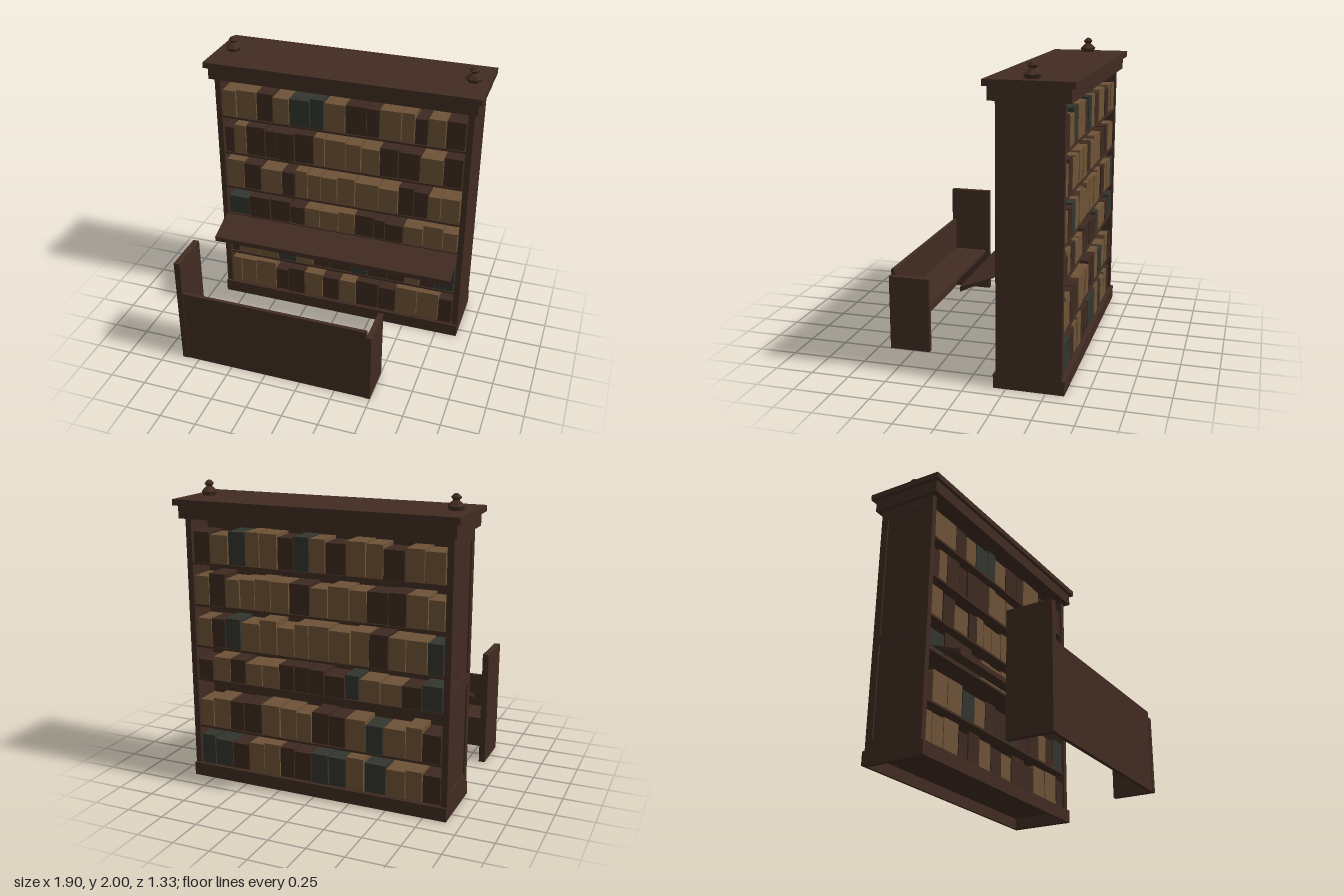
import * as THREE from 'three';

const mat = (name, color) => Object.assign(new THREE.MeshStandardMaterial({ color }), { name });
const wood = mat('walnut wood', 0x412c22);
const covers = {
  t: mat('tan leather', 0x6c5236),
  d: mat('dark brown leather', 0x3d2920),
  g: mat('dark green leather', 0x32352e),
};

// Case limits in depth
const FRONT = -0.187, BACK = -0.6, MID = (FRONT + BACK) / 2;

// Box given by its two limits on each axis
function box(parent, name, [x0, x1], [y0, y1], [z0, z1], material = wood) {
  const mesh = new THREE.Mesh(new THREE.BoxGeometry(x1 - x0, y1 - y0, z1 - z0), material);
  mesh.position.set((x0 + x1) / 2, (y0 + y1) / 2, (z0 + z1) / 2);
  mesh.name = name;
  parent.add(mesh);
}

function seeded(seed) {
  return () => (seed = (seed * 16807) % 2147483647) / 2147483647;
}

// Shelf heights, covers of both sides (front from -x to +x, back from +x to -x)
// and the relative widths of the front books
const rows = [
  { y: 1.49, front: 'ttdtggtddttdtd', back: 'dtgttdgtdttdtt', widths: [10, 15, 12, 12, 15, 10, 15, 15, 9, 15, 9, 9, 12, 13] },
  { y: 1.21, front: 'dtddddttttddtd', back: 'tdttttdtttddtt', widths: [7, 9, 14, 9, 13, 14, 8, 15, 11, 13, 13, 15, 16, 13] },
  { y: 0.93, front: 'tdtdttttttddtt', back: 'tdgtttttttdttg', widths: [13, 13, 16, 10, 9, 10, 12, 13, 17, 14, 11, 10, 9, 13] },
  { y: 0.7, front: 'gdddtttdddttt', back: 'dtdttddddgttdg', widths: [16, 16, 15, 11, 11, 14, 12, 14, 8, 13, 14, 14, 10] },
  { y: 0.365, front: 'dttgtddgddtdg', back: 'ttddtttddtgttd', widths: [6, 16, 16, 14, 13, 13, 17, 12, 15, 13, 11, 11, 14] },
  { y: 0.09, front: 'tttddtdtddttd', back: 'ggdttddggtgttd', widths: [7, 12, 16, 10, 13, 14, 13, 13, 17, 13, 16, 16, 10] },
];

function createCase() {
  const g = new THREE.Group();
  g.name = 'bookcase';

  box(g, 'leftSide', [0.86, 0.9], [0, 1.78], [BACK, FRONT]);
  // Framed right side with two sunk panels
  box(g, 'rightSide', [-0.89, -0.86], [0, 1.78], [BACK, FRONT]);
  for (const z of [BACK, FRONT - 0.05]) box(g, 'sideStile', [-0.9, -0.89], [0, 1.78], [z, z + 0.05]);
  for (const [y0, y1] of [[0.09, 0.16], [0.78, 0.85], [1.7, 1.78]])
    box(g, 'sideRail', [-0.9, -0.89], [y0, y1], [BACK + 0.05, FRONT - 0.05]);

  box(g, 'middlePanel', [-0.86, 0.86], [0.09, 1.78], [MID - 0.008, MID + 0.008]);
  for (const { y } of rows)
    box(g, 'shelf', [-0.86, 0.86], [y - 0.015, y], [BACK + 0.003, FRONT - 0.003]);

  // Hollow plinth
  box(g, 'plinthFront', [-0.9, 0.9], [0, 0.09], [FRONT, -0.17]);
  box(g, 'plinthBack', [-0.9, 0.9], [0, 0.09], [-0.617, BACK]);
  for (const x of [-0.902, 0.9]) box(g, 'plinthSide', [x, x + 0.002], [0, 0.09], [-0.617, -0.17]);

  // Stepped cornice
  box(g, 'corniceLower', [-0.925, 0.925], [1.775, 1.86], [-0.639, -0.146]);
  box(g, 'corniceTop', [-0.95, 0.95], [1.86, 1.9], [-0.666, -0.122]);

  // Six-sided finials
  const profile = [[0.042, 1.895], [0.057, 1.925], [0.03, 1.95], [0.019, 1.957], [0.034, 1.976], [0.016, 1.995], [0, 2]]
    .map(([r, y]) => new THREE.Vector2(r, y));
  const geometry = new THREE.LatheGeometry(profile, 6, Math.PI / 6).toNonIndexed();
  geometry.computeVertexNormals();
  for (const x of [-0.84, 0.84]) {
    const finial = new THREE.Mesh(geometry, wood);
    finial.position.set(x, 0, MID);
    finial.name = 'finial';
    g.add(finial);
  }
  return g;
}

// One row of books filling a shelf on the front (side 1) or back (side -1)
function addBookRow(parent, name, y, colours, widths, side, rand) {
  const [low, high] = y === 0.7 ? [0.13, 0.175] : [0.18, 0.222];
  const scale = 1.705 / widths.reduce((a, b) => a + b);
  let start = -0.85;
  widths.forEach((width, i) => {
    const end = start + width * scale;
    const xs = [side * start, side * (end - 0.006)].sort((a, b) => a - b);
    const spine = (side > 0 ? FRONT : BACK) - side * (0.006 + rand() * 0.01);
    const zs = [spine, spine - side * 0.17].sort((a, b) => a - b);
    box(parent, name, xs, [y, y + low + rand() * (high - low)], zs, covers[colours[i]]);
    start = end;
  });
}

function createBooks() {
  const g = new THREE.Group();
  g.name = 'books';
  const rand = seeded(71);
  for (const { y, front, back, widths } of rows) {
    addBookRow(g, 'frontBook', y, front, widths, 1, rand);
    addBookRow(g, 'backBook', y, back, [...back].map(() => 0.8 + rand() * 0.4), -1, rand);
  }
  return g;
}

// Sloping reading ledge with a wedge section
function createLedge() {
  const shape = new THREE.Shape([[-0.045, 0.59], [-0.045, 0.624], [0.175, 0.702]]
    .map(([a, b]) => new THREE.Vector2(a, b)));
  const geometry = new THREE.ExtrudeGeometry(shape, { depth: 1.736, bevelEnabled: false });
  geometry.rotateY(Math.PI / 2);
  geometry.translate(-0.868, 0, 0);
  const ledge = new THREE.Mesh(geometry, wood);
  ledge.name = 'readingLedge';
  return ledge;
}

// Free-standing bench unit with one tall and one low end
function createBench() {
  const g = new THREE.Group();
  g.name = 'bench';
  box(g, 'tallEnd', [-0.872, -0.83], [0, 0.795], [0.365, 0.666]);
  box(g, 'lowEnd', [0.465, 0.5], [0, 0.51], [0.387, 0.666]);
  box(g, 'benchFront', [-0.83, 0.465], [0, 0.55], [0.637, 0.662]);
  box(g, 'benchSeat', [-0.83, 0.465], [0.29, 0.315], [0.395, 0.637]);
  return g;
}

export function createModel() {
  const model = new THREE.Group();
  model.name = 'bookcaseWithBench';
  model.add(createCase(), createBooks(), createLedge(), createBench());
  return model;
}
